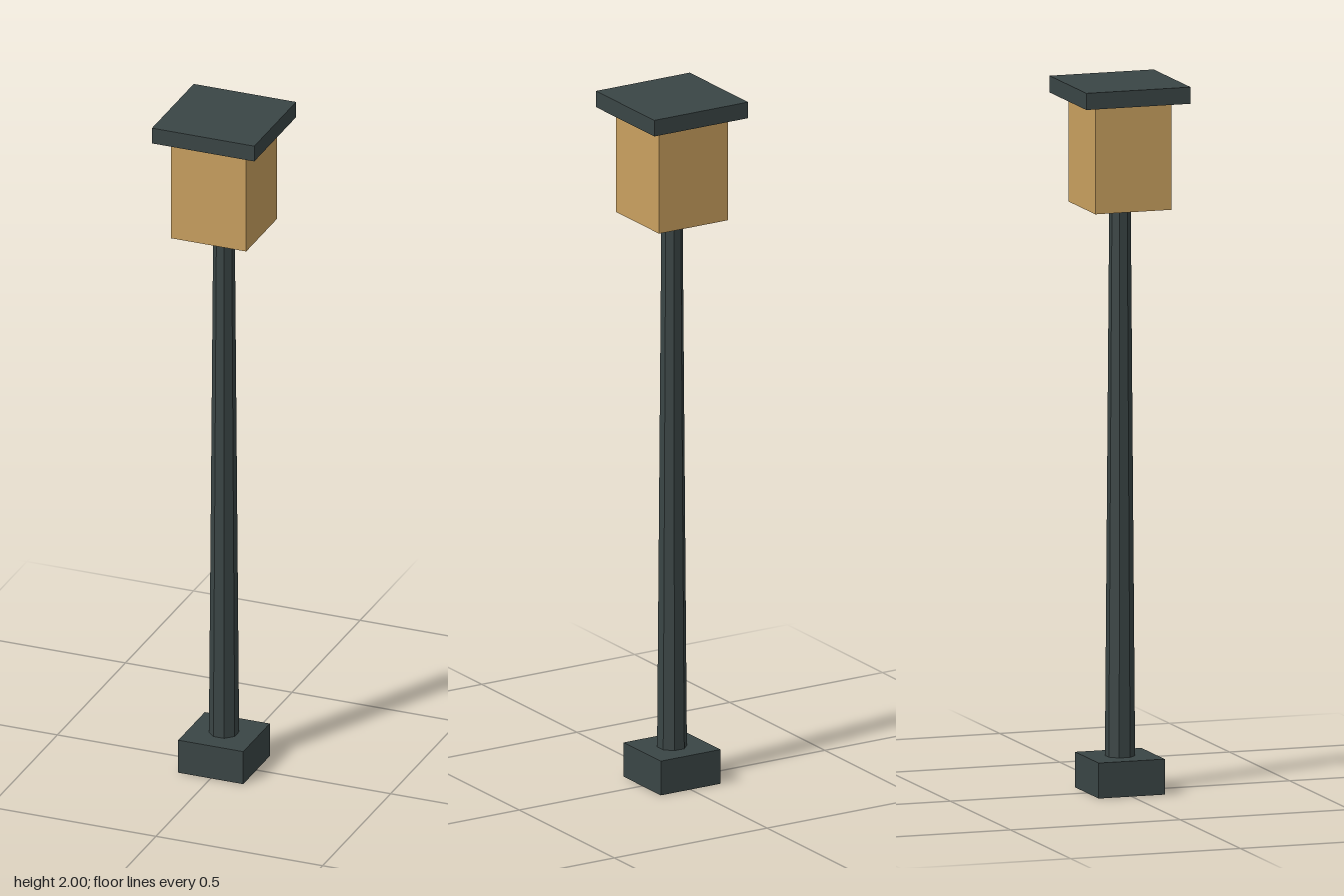
import * as THREE from 'three';

export function createModel() {
  const model = new THREE.Group();
  model.name = 'lampPost';

  const iron = new THREE.MeshStandardMaterial({ color: 0x3a4545 });
  iron.name = 'darkIron';
  const glow = new THREE.MeshStandardMaterial({ color: 0xc9a05f });
  glow.name = 'amberGlass';

  const add = (name, geometry, material, y) => {
    const mesh = new THREE.Mesh(geometry, material);
    mesh.name = name;
    mesh.position.y = y;
    model.add(mesh);
    return mesh;
  };
  // Square block resting between two heights
  const block = (name, width, bottom, top, material) =>
    add(name, new THREE.BoxGeometry(width, top - bottom, width), material, (bottom + top) / 2);

  // Foot of the post
  block('base', 0.195, 0, 0.1, iron);

  // Tapered eight-sided post, one flat facing the front
  const post = new THREE.CylinderGeometry(0.03, 0.042, 1.55, 8).toNonIndexed();
  post.rotateY(Math.PI / 8);
  post.computeVertexNormals();
  add('post', post, iron, 0.875);

  // Lantern and its overhanging cap
  block('lantern', 0.225, 1.65, 1.953, glow);
  block('cap', 0.307, 1.953, 2, iron);

  return model;
}
